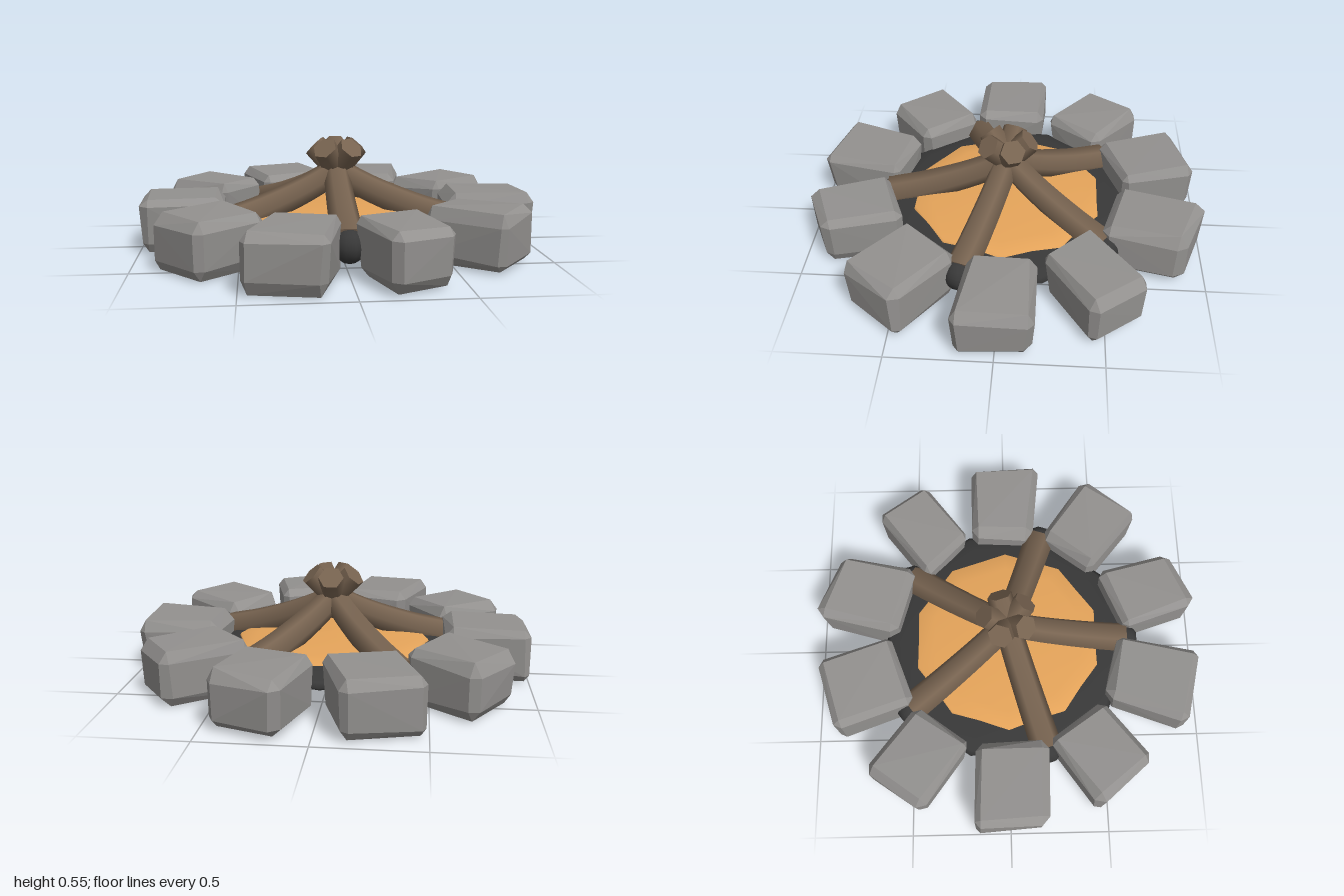
import * as THREE from 'three';
import { ConvexGeometry } from 'three/addons/geometries/ConvexGeometry.js';

const flat = (name, color, extra = {}) => {
  const m = new THREE.MeshStandardMaterial({ color, ...extra });
  m.name = name;
  return m;
};

// Small seeded generator for the uneven stones
function seeded(seed) {
  return () => {
    seed = (seed * 16807) % 2147483647;
    return seed / 2147483647;
  };
}

// Chamfered block over a four-cornered footprint of [x, z] points, a little narrower below
function stoneGeometry(corners, rand) {
  const points = [];
  const at = (u, v, y) => {
    const w = [(1 - u) * (1 - v), (1 + u) * (1 - v), (1 + u) * (1 + v), (1 - u) * (1 + v)];
    let x = 0, z = 0;
    corners.forEach(([cx, cz], i) => { x += cx * w[i] / 4; z += cz * w[i] / 4; });
    points.push(new THREE.Vector3(x, y, z));
  };
  for (const u of [-1, 1]) for (const v of [-1, 1]) for (const top of [false, true]) {
    const c = 0.12 + 0.12 * rand();
    const slip = 0.015 * rand();
    const bevel = 0.03 + 0.035 * rand();
    const s = top ? 1 : 0.93 + 0.07 * rand();
    const y = top ? 0.288 - slip : 0.003 + slip;
    const side = top ? y - bevel : y + bevel;
    at(u * s * (1 - c), v * s * (1 - c), y);
    at(u * s, v * s * (1 - c), side);
    at(u * s * (1 - c), v * s, side);
  }
  return new ConvexGeometry(points);
}

export function createModel() {
  const group = new THREE.Group();
  group.name = 'campfire';
  const stone = flat('stone grey', 0x93918f);
  const wood = flat('wood brown', 0x776350, { side: THREE.DoubleSide });
  const ember = flat('ember orange', 0xe5a45a);
  const ash = flat('ash black', 0x383838);

  const add = (name, geometry, material, parent = group) => {
    const mesh = new THREE.Mesh(geometry, material);
    mesh.name = name;
    parent.add(mesh);
    return mesh;
  };
  const lathe = (pts, start) =>
    new THREE.LatheGeometry(pts.map(p => new THREE.Vector2(...p)), 10, start);

  // Flattened ash mound with the glowing embers on top
  const mound = [];
  for (let i = 0; i <= 12; i++) {
    const a = (i / 12 - 0.5) * Math.PI;
    mound.push([0.65 * Math.cos(a), 0.127 + 0.065 * Math.sin(a)]);
  }
  add('ashBed', lathe(mound, 0), ash);
  add('embers', lathe([[0.5, 0.16], [0.49, 0.178], [0.4, 0.19], [0.22, 0.202], [0, 0.208]], Math.PI / 2), ember);

  // Ring of stones
  const footprints = [
    [[0.57, -0.18], [0.99, -0.18], [1.0, 0.2], [0.55, 0.15]],
    [[0.71, -0.7], [0.9, -0.44], [0.57, -0.2], [0.35, -0.42]],
    [[0.13, -1.02], [0.47, -0.88], [0.38, -0.48], [0.02, -0.58]],
    [[-0.13, -0.99], [-0.01, -0.61], [-0.36, -0.48], [-0.5, -0.88]],
    [[-0.7, -0.73], [-0.38, -0.47], [-0.58, -0.2], [-0.91, -0.44]],
    [[-1.0, -0.18], [-0.58, -0.17], [-0.57, 0.2], [-0.99, 0.19]],
    [[-0.57, 0.2], [-0.37, 0.48], [-0.67, 0.72], [-0.91, 0.44]],
    [[-0.35, 0.49], [-0.03, 0.58], [-0.12, 1.0], [-0.5, 0.91]],
    [[0.02, 0.62], [0.34, 0.49], [0.44, 0.88], [0.15, 1.01]],
    [[0.37, 0.46], [0.57, 0.2], [0.91, 0.45], [0.69, 0.73]],
  ];
  const rand = seeded(4711);
  footprints.forEach((f, i) => add(`stone${i + 1}`, stoneGeometry(f, rand), stone));

  // Five bent, tapering logs crossing at the top, each with a charred foot
  const radial = 6, steps = 14;
  const path = new THREE.CatmullRomCurve3([
    [0.615, 0.155], [0.41, 0.212], [0.15, 0.312], [0.02, 0.385], [-0.115, 0.515],
  ].map(([r, y]) => new THREE.Vector3(0, y, r)));
  const tube = new THREE.TubeGeometry(path, steps, 0.08, radial);
  const rings = tube.attributes.position;
  const vertex = new THREE.Vector3();
  for (let i = 0; i < rings.count; i++) {
    const t = Math.floor(i / (radial + 1)) / steps;
    const centre = path.getPointAt(t);
    vertex.fromBufferAttribute(rings, i).sub(centre).multiplyScalar(1 - 0.2 * t).add(centre);
    rings.setXYZ(i, vertex.x, vertex.y, vertex.z);
  }
  const endCap = ring => {
    const cap = new THREE.CircleGeometry(1, radial);
    const pos = cap.attributes.position;
    const centre = path.getPointAt(ring / steps);
    pos.setXYZ(0, centre.x, centre.y, centre.z);
    for (let i = 0; i <= radial; i++) {
      vertex.fromBufferAttribute(rings, ring * (radial + 1) + i);
      pos.setXYZ(i + 1, vertex.x, vertex.y, vertex.z);
    }
    cap.computeVertexNormals();
    return cap;
  };
  const caps = [endCap(0), endCap(steps)];
  const foot = new THREE.SphereGeometry(0.08, 10, 8);
  for (let i = 0; i < 5; i++) {
    const log = new THREE.Group();
    log.name = `log${i + 1}`;
    log.rotation.y = i * Math.PI * 2 / 5;
    add('logBody', tube, wood, log);
    caps.forEach(c => add('logEnd', c, wood, log));
    add('charredFoot', foot, ash, log).position.set(0, 0.14, 0.62);
    group.add(log);
  }
  return group;
}
